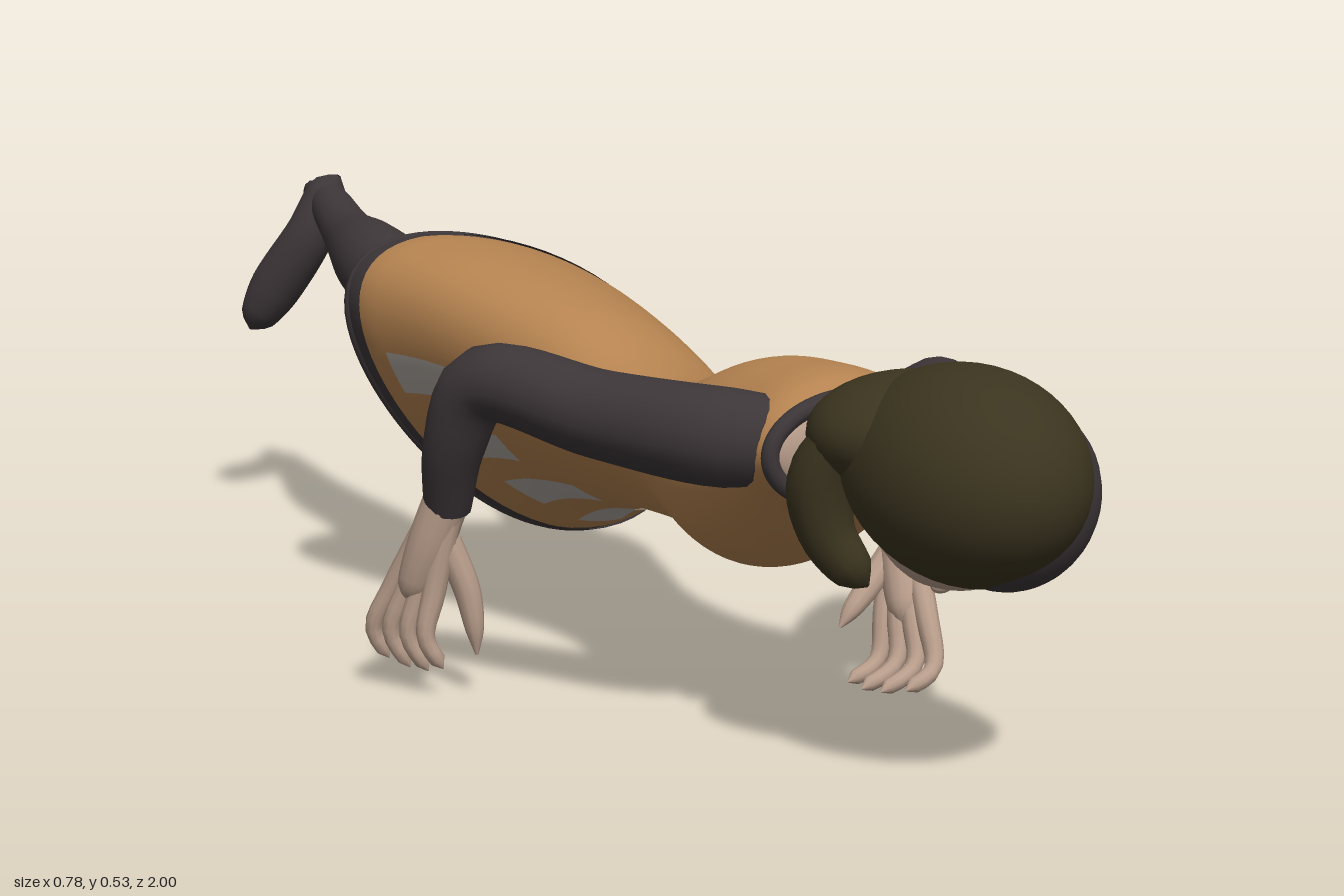
import * as THREE from 'three';
import { mergeVertices } from 'three/addons/utils/BufferGeometryUtils.js';
import { ParametricGeometry } from 'three/addons/geometries/ParametricGeometry.js';

const V = (x, y, z) => new THREE.Vector3(x, y, z);

function material(name, color, side = THREE.FrontSide) {
  const m = new THREE.MeshStandardMaterial({ color, side });
  m.name = name;
  return m;
}

// Welds seams so that normals run smoothly round each form.
function smooth(geometry) {
  geometry.deleteAttribute('uv');
  geometry.deleteAttribute('normal');
  const g = mergeVertices(geometry, 1e-5);
  g.computeVertexNormals();
  return g;
}

// Tube through [x, y, z, radius] points, with the radius varying along it.
function limbGeometry(points, segments = 28, sides = 18) {
  const curve = new THREE.CatmullRomCurve3(points.map(p => V(p[0], p[1], p[2])));
  const radii = new THREE.CatmullRomCurve3(points.map(p => V(p[3], 0, 0)), false, 'catmullrom');
  const g = new THREE.TubeGeometry(curve, segments, 1, sides);
  const pos = g.attributes.position, nor = g.attributes.normal, n = V(0, 0, 0);
  for (let i = 0; i < pos.count; i++) {
    const u = Math.floor(i / (sides + 1)) / segments;
    const r = radii.getPoint(curve.getUtoTmapping(u)).x;
    const p = curve.getPointAt(u).addScaledVector(n.fromBufferAttribute(nor, i), r);
    pos.setXYZ(i, p.x, p.y, p.z);
  }
  return smooth(g);
}

// Dress sections from hem to collar: z, centre x, centre y, half width, half depth, roll in degrees.
const sections = [
  [-0.265, 0.004, 0.316, 0.288, 0.18, -34],
  [-0.1, 0.002, 0.33, 0.238, 0.144, -34],
  [0.08, 0.004, 0.317, 0.18, 0.114, -35],
  [0.2, 0.016, 0.29, 0.156, 0.09, -33],
  [0.3, 0.022, 0.285, 0.148, 0.094, -27],
  [0.42, 0.016, 0.306, 0.153, 0.13, -14],
  [0.52, 0.01, 0.335, 0.142, 0.113, -5],
  [0.59, 0, 0.36, 0.13, 0.085, 0],
  [0.635, -0.008, 0.362, 0.112, 0.062, 0],
];
const spine = new THREE.CatmullRomCurve3(sections.map(s => V(s[1], s[2], s[0])), false, 'catmullrom');
const girth = new THREE.CatmullRomCurve3(sections.map(s => V(s[3], s[4], s[5])), false, 'catmullrom');

function dressPoint(t, angle, offset = 0) {
  const c = spine.getPoint(t), s = girth.getPoint(t);
  const roll = THREE.MathUtils.degToRad(s.z);
  const turnIn = 1 - 0.05 * Math.max(0, 1 - t / 0.05) ** 2; // hem edge curls inward
  const egg = 1 + 0.18 * Math.cos(angle) * Math.max(0, 1 - t * 4); // skirt is fuller on the lower side
  const x = (s.x * turnIn + offset) * Math.cos(angle);
  const y = (s.y * turnIn + offset) * Math.sin(angle) * egg;
  const dx = x * Math.cos(roll) - y * Math.sin(roll);
  const dy = x * Math.sin(roll) + y * Math.cos(roll);
  const slant = 0.2 * Math.max(0, 1 - t * 5);
  return V(c.x + dx, c.y + dy, c.z - slant * dy);
}

// Piece of the dress surface between two stations and two angles.
function dressPatch(t0, t1, a0, a1, offset, nu, nv) {
  return smooth(new ParametricGeometry((u, v, target) => {
    target.copy(dressPoint(t0 + (t1 - t0) * v, a0 + (a1 - a0) * u, offset));
  }, nu, nv));
}

function dressRing(t, radius, offset) {
  const pts = Array.from({ length: 40 }, (_, i) => dressPoint(t, i / 40 * Math.PI * 2, offset));
  return smooth(new THREE.TubeGeometry(new THREE.CatmullRomCurve3(pts, true), 80, radius, 10, true));
}

export function createModel() {
  const model = new THREE.Group();
  const cloth = material('ochre cloth', 0xb58350, THREE.DoubleSide);
  const dark = material('charcoal cloth', 0x3d3638, THREE.DoubleSide);
  const skin = material('skin', 0xb89d8b);
  const hair = material('olive brown hair', 0x3b341f, THREE.DoubleSide);
  const grey = material('grey print', 0xaea8a1, THREE.DoubleSide);

  const add = (name, geometry, mat, parent = model) => {
    const mesh = new THREE.Mesh(geometry, mat);
    mesh.name = name;
    parent.add(mesh);
    return mesh;
  };
  const ball = (name, mat, parent, c, r) => {
    const mesh = add(name, new THREE.SphereGeometry(1, 32, 22), mat, parent);
    mesh.position.set(...c);
    mesh.scale.set(...r);
    return mesh;
  };

  // Dress with dark trims, open at the hem
  const full = Math.PI * 2;
  add('dress', dressPatch(0, 1, 0, full, 0, 64, 90), cloth);
  for (const offset of [0.003, -0.006]) add('hemBand', dressPatch(0, 0.03, 0, full, offset, 64, 6), dark);
  add('hemRim', dressRing(0, 0.014, -0.008), dark);
  add('collar', dressRing(0.995, 0.011, 0), dark);
  ball('neckBase', skin, model, [-0.006, 0.363, 0.62], [0.11, 0.062, 0.03]);

  // Plain grey bands on the belly side: [start, end, first angle, last angle]
  const rad = THREE.MathUtils.degToRad;
  for (const [t0, t1, a0, a1] of [
    [0.175, 0.258, 14, 32], [0.175, 0.258, -10, 4],
    [0.085, 0.16, 8, 22], [0.085, 0.16, -24, -8],
    [0.07, 0.2, -56, -38], [0.09, 0.22, -88, -72],
    [0.06, 0.17, -114, -100], [0.06, 0.18, -144, -128],
  ]) add('printBand', dressPatch(t0, t1, rad(a0), rad(a1), 0.003, 10, 10), grey);

  // Arms
  add('leftSleeve', limbGeometry([
    [0.09, 0.37, 0.575, 0.05], [0.15, 0.37, 0.545, 0.061], [0.235, 0.36, 0.43, 0.056],
    [0.318, 0.345, 0.335, 0.047], [0.295, 0.27, 0.335, 0.043], [0.237, 0.19, 0.365, 0.031],
  ]), dark);
  add('rightSleeve', limbGeometry([
    [-0.07, 0.37, 0.575, 0.05], [-0.13, 0.372, 0.545, 0.06], [-0.22, 0.385, 0.41, 0.054],
    [-0.312, 0.408, 0.275, 0.047], [-0.33, 0.33, 0.235, 0.039], [-0.325, 0.245, 0.203, 0.03],
  ]), dark);

  // Hands: a palm, four curled fingers fanned along a side direction, and a thumb
  function hand(name, wrist, knuckle, mid, tip, side, thumb) {
    const g = new THREE.Group();
    g.name = name;
    model.add(g);
    const at = (p, k, r) => [p.x + side.x * k, p.y + side.y * k, p.z + side.z * k, r];
    add('palm', limbGeometry([at(wrist, 0, 0.029), at(wrist.clone().lerp(knuckle, 0.55), 0, 0.029),
      at(knuckle, 0, 0.021), at(knuckle.clone().lerp(mid, 0.3), 0, 0.003)], 14, 14), skin, g);
    for (const k of [-1.5, -0.5, 0.5, 1.5]) {
      const end = mid.clone().lerp(tip, 1 - 0.15 * Math.abs(k));
      add('finger', limbGeometry([at(wrist, k * 0.006, 0.016), at(knuckle, k * 0.022, 0.015),
        at(mid, k * 0.029, 0.0115), at(end, k * 0.03, 0.009),
        at(end.clone().lerp(mid, -0.12), k * 0.03, 0.001)], 18, 10), skin, g);
    }
    add('thumb', limbGeometry(thumb, 14, 10), skin, g);
  }
  hand('leftHand', V(0.242, 0.2, 0.362), V(0.212, 0.095, 0.42), V(0.195, 0.035, 0.447), V(0.14, 0.011, 0.457), V(0.35, 0.05, 0.93),
    [[0.23, 0.17, 0.368, 0.018], [0.185, 0.125, 0.378, 0.017], [0.152, 0.095, 0.385, 0.012], [0.135, 0.077, 0.388, 0.002]]);
  hand('rightHand', V(-0.325, 0.26, 0.205), V(-0.357, 0.135, 0.17), V(-0.373, 0.08, 0.162), V(-0.352, 0.035, 0.172), V(-0.4, 0, -0.91),
    [[-0.325, 0.2, 0.2, 0.019], [-0.305, 0.14, 0.215, 0.017], [-0.298, 0.09, 0.222, 0.012], [-0.296, 0.057, 0.224, 0.002]]);

  // Legs, feet and low heels
  add('rightLeg', limbGeometry([
    [-0.06, 0.34, 0.04, 0.05], [-0.065, 0.345, -0.12, 0.088], [-0.068, 0.35, -0.32, 0.074],
    [-0.053, 0.4, -0.49, 0.067], [-0.05, 0.435, -0.61, 0.06], [-0.022, 0.455, -0.76, 0.041],
    [-0.004, 0.482, -0.86, 0.034], [0.003, 0.495, -0.905, 0.03],
  ], 40), dark);
  add('leftLeg', limbGeometry([
    [0.07, 0.27, 0.04, 0.05], [0.1, 0.235, -0.12, 0.088], [0.16, 0.213, -0.3, 0.076],
    [0.209, 0.222, -0.45, 0.066], [0.255, 0.24, -0.6, 0.055], [0.3, 0.238, -0.75, 0.039],
    [0.32, 0.247, -0.84, 0.034], [0.322, 0.255, -0.885, 0.03],
  ], 40), dark);
  function foot(side, heel, toe) {
    const along = (k, dz, r) => {
      const p = heel.clone().lerp(toe, k);
      return [p.x, p.y, p.z + dz, r];
    };
    add(side + 'Foot', limbGeometry([along(-0.1, 0.005, 0.003), along(0, 0, 0.031), along(0.3, 0.018, 0.038),
      along(0.7, 0.004, 0.04), along(0.93, 0, 0.026), along(1, 0, 0.002)], 26), dark);
    add(side + 'Heel', limbGeometry([along(0.02, -0.01, 0.022), along(0.03, -0.04, 0.018),
      along(0.03, -0.06, 0.015), along(0.03, -0.062, 0.001)], 8, 10), dark);
  }
  foot('right', V(0.008, 0.51, -0.905), V(-0.105, 0.29, -0.965));
  foot('left', V(0.322, 0.28, -0.905), V(0.352, 0.035, -0.98));

  // Neck and head; the face looks down and slightly to the left
  add('neck', limbGeometry([[0, 0.37, 0.6, 0.055], [0.005, 0.37, 0.66, 0.047], [0.015, 0.355, 0.75, 0.055]], 10), skin);
  const head = new THREE.Group();
  head.name = 'head';
  head.position.set(0.012, 0.363, 0.83);
  head.rotation.z = 0.3;
  model.add(head);

  const faceGeometry = new THREE.SphereGeometry(1, 36, 28);
  const p = faceGeometry.attributes.position;
  for (let i = 0; i < p.count; i++) {
    const z = p.getZ(i), jaw = z < 0 ? 1 + 0.28 * z : 1;
    p.setXYZ(i, p.getX(i) * 0.096 * jaw, p.getY(i) * 0.1 - 0.04, z * 0.132 - 0.042);
  }
  add('face', smooth(faceGeometry), skin, head);
  ball('nose', skin, head, [0, -0.137, -0.073], [0.013, 0.018, 0.024]);
  ball('upperLip', skin, head, [0, -0.128, -0.106], [0.022, 0.009, 0.007]);
  ball('lowerLip', skin, head, [0, -0.12, -0.119], [0.019, 0.009, 0.007]);
  ball('chin', skin, head, [0, -0.098, -0.145], [0.026, 0.022, 0.02]);
  for (const s of [-1, 1]) {
    ball('eyelid', skin, head, [s * 0.034, -0.126, -0.04], [0.018, 0.012, 0.01]);
    ball('ear', skin, head, [s * 0.09, -0.01, -0.06], [0.012, 0.02, 0.03]);
  }
  ball('headband', dark, head, [0.018, -0.02, 0.06], [0.108, 0.108, 0.082]);

  // Hair: open cap, nape and falling locks
  const cap = new THREE.SphereGeometry(1, 44, 26, 0, full, 0, 1.72);
  cap.rotateX(0.92);
  cap.scale(0.131, 0.126, 0.168);
  add('hairCap', smooth(cap), hair, head);
  ball('hairNape', hair, model, [-0.008, 0.402, 0.75], [0.122, 0.07, 0.104]);
  add('rightLock', limbGeometry([[-0.09, 0.41, 0.75, 0.03], [-0.105, 0.35, 0.72, 0.04], [-0.1, 0.29, 0.725, 0.033],
    [-0.075, 0.245, 0.745, 0.024], [-0.06, 0.228, 0.75, 0.002]], 18, 14), hair);
  add('leftLock', limbGeometry([[0.08, 0.42, 0.7, 0.025], [0.1, 0.4, 0.75, 0.03], [0.118, 0.37, 0.83, 0.028],
    [0.122, 0.345, 0.88, 0.022], [0.115, 0.32, 0.9, 0.002]], 18, 14), hair);

  return model;
}
